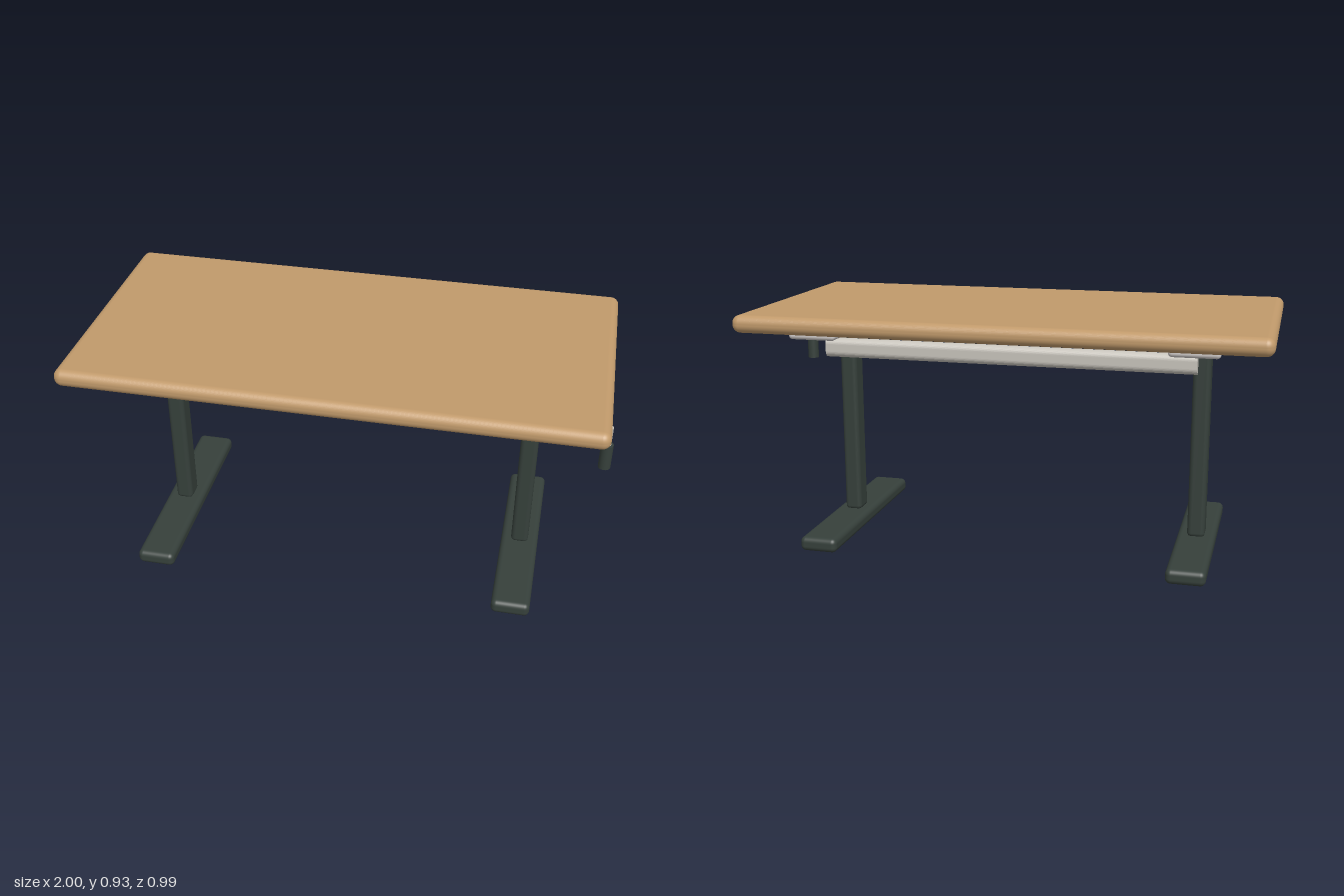
import * as THREE from 'three';
import { RoundedBoxGeometry } from 'three/addons/geometries/RoundedBoxGeometry.js';

const material = (color) => new THREE.MeshStandardMaterial({ color });

export function createModel() {
  const desk = new THREE.Group();
  desk.name = 'crankDesk';
  const wood = material(0xc19a6b);
  const dark = material(0x36403b);
  const metal = material(0xc8c4bc);
  const plateMetal = material(0xcfcac8);

  const add = (name, geometry, mat, x, y, z) => {
    const mesh = new THREE.Mesh(geometry, mat);
    mesh.name = name;
    mesh.position.set(x, y, z);
    desk.add(mesh);
    return mesh;
  };
  // Rounded box placed by its bottom and top heights
  const block = (name, mat, x, y0, y1, width, depth, radius) =>
    add(name, new RoundedBoxGeometry(width, y1 - y0, depth, 5, radius), mat, x, (y0 + y1) / 2, 0);

  const midX = -0.0125;
  const legOffset = 0.711;

  block('tabletop', wood, midX, 0.865, 0.932, 1.975, 0.99, 0.031);

  // Foot, column and mounting plate on each side
  for (const [side, sign] of [['left', 1], ['right', -1]]) {
    const x = midX + sign * legOffset;
    block(side + 'Foot', dark, x, 0, 0.057, 0.148, 0.84, 0.021);
    block(side + 'Column', dark, x, 0.052, 0.838, 0.068, 0.086, 0.017);
    block(side + 'MountingPlate', plateMetal, x, 0.833, 0.864, 0.184, 0.79, 0.0145);
  }

  // Rear crossbar: an upright oval section run between the columns
  const r = 0.0245, half = 0.0375 - r, length = legOffset * 2;
  const oval = new THREE.Shape();
  oval.absarc(0, half, r, 0, Math.PI, false);
  oval.absarc(0, -half, r, Math.PI, Math.PI * 2, false);
  oval.closePath();
  const bar = new THREE.ExtrudeGeometry(oval, { depth: length, bevelEnabled: false, curveSegments: 16 });
  bar.translate(0, 0, -length / 2).rotateY(Math.PI / 2);
  add('crossbar', bar, metal, midX, 0.781, -0.236);

  // Crank: shaft under the top, drop arm and grip
  const crankX = 0.975, crankZ = 0.248;
  const shaft = add('crankShaft', new THREE.CylinderGeometry(0.014, 0.014, 0.135, 20), metal, 0.9075, 0.804, crankZ);
  shaft.rotation.z = Math.PI / 2;
  add('crankArm', new THREE.CylinderGeometry(0.0135, 0.0135, 0.085, 20), metal, crankX, 0.7625, crankZ);
  add('crankGrip', new THREE.CylinderGeometry(0.0225, 0.0225, 0.098, 24), dark, crankX, 0.681, crankZ);

  return desk;
}
